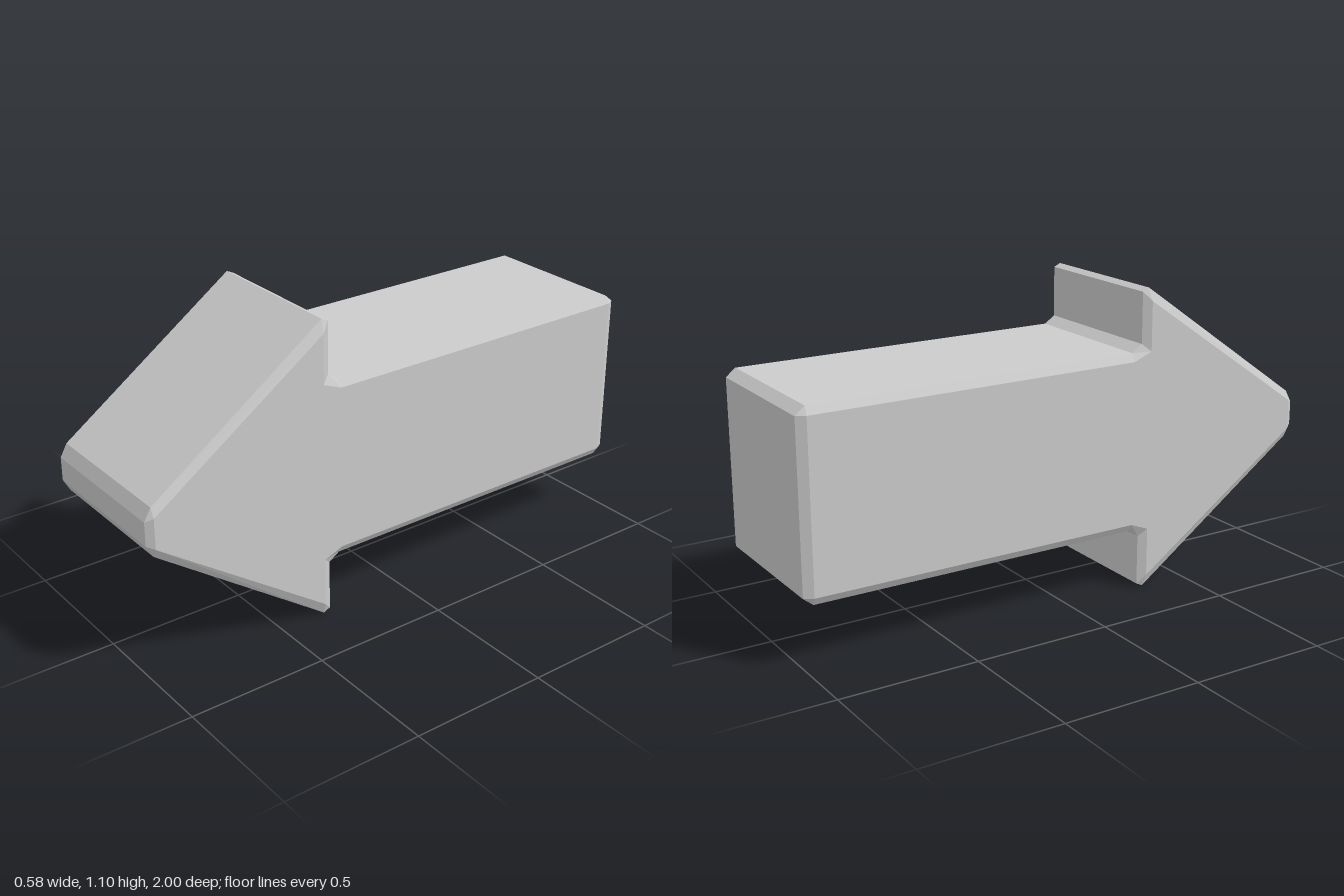
import * as THREE from 'three';

const HEIGHT = 1.095; // arrow is symmetric about half this height

// Upper half of the side profile, tip to tail: [outline z, outline y, cap z, cap y]
const PROFILE = [
  [1.0, 0.59, 0.975, 0.602],
  [0.975, 0.635, 0.975, 0.602],
  [0.325, 1.095, 0.33, 1.05],
  [0.3, 1.083, 0.33, 1.05],
  [0.3, 0.9, 0.33, 0.873],
  [0.26, 0.873, 0.26, 0.845],
  [-0.965, 0.873, -0.968, 0.845],
  [-1.0, 0.845, -0.968, 0.845],
];

// Closed ring at one x: upper half, then its mirror below
function ring(x, column) {
  const upper = PROFILE.map(p => new THREE.Vector3(x, p[column + 1], p[column]));
  const lower = upper.map(v => new THREE.Vector3(x, HEIGHT - v.y, v.z)).reverse();
  return [...upper, ...lower];
}

function arrowGeometry() {
  const points = [];
  const tri = (a, b, c) => {
    const area = b.clone().sub(a).cross(c.clone().sub(a)).length();
    if (area > 1e-6) points.push(a, b, c); // skip collapsed corners
  };
  const quad = (a, b, c, d) => { tri(a, b, c); tri(a, c, d); };

  // Right bevel, main body, left bevel
  const rings = [ring(-0.29, 2), ring(-0.273, 0), ring(0.273, 0), ring(0.29, 2)];
  const n = rings[0].length;
  for (let s = 0; s < 3; s++) {
    const a = rings[s], b = rings[s + 1];
    for (let i = 0; i < n; i++) {
      const j = (i + 1) % n;
      quad(a[i], b[i], b[j], a[j]);
    }
  }

  // Flat side caps, in vertical strips from tip to tail
  const right = rings[0], left = rings[3];
  for (let i = 0; i < PROFILE.length - 1; i++) {
    const lo = n - 1 - i;
    quad(left[lo], left[lo - 1], left[i + 1], left[i]);
    quad(right[i], right[i + 1], right[lo - 1], right[lo]);
  }

  const geometry = new THREE.BufferGeometry().setFromPoints(points);
  geometry.computeVertexNormals();
  return geometry;
}

export function createModel() {
  const group = new THREE.Group();
  group.name = 'arrowBlock';
  const arrow = new THREE.Mesh(
    arrowGeometry(),
    new THREE.MeshStandardMaterial({ color: 0xcccccc, flatShading: true }),
  );
  arrow.name = 'bevelledArrow';
  group.add(arrow);
  return group;
}
